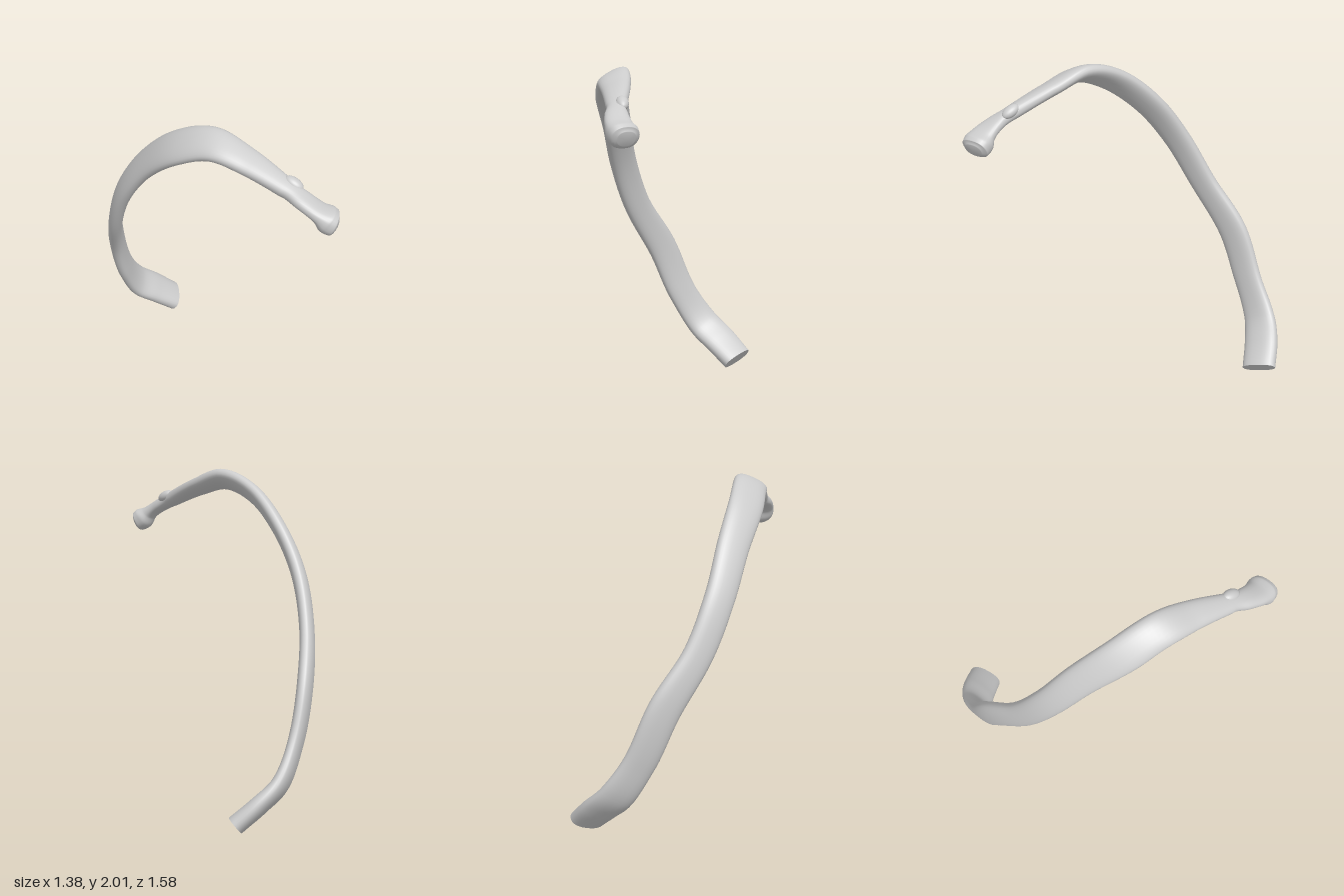
import * as THREE from 'three';

// Stations along the bone: centre x, y, z, half width, half thickness, tilt of the wide axis
const STATIONS = [
  [-0.325, 0.055, -0.685, 0.108, 0.057, 0.15],
  [-0.45, 0.165, -0.632, 0.113, 0.053, 0.28],
  [-0.555, 0.275, -0.56, 0.108, 0.046, 0.42],
  [-0.62, 0.5, -0.43, 0.098, 0.042, 0.48],
  [-0.645, 0.8, -0.297, 0.1, 0.044, 0.48],
  [-0.615, 1.1, -0.09, 0.09, 0.043, 0.48],
  [-0.535, 1.4, 0.06, 0.092, 0.045, 0.48],
  [-0.39, 1.66, 0.185, 0.1, 0.045, 0.48],
  [-0.2, 1.856, 0.325, 0.11, 0.045, 0.48],
  [0, 1.938, 0.42, 0.105, 0.046, 0.46],
  [0.2, 1.885, 0.51, 0.085, 0.043, 0.42],
  [0.4, 1.8, 0.617, 0.06, 0.042, 0.42],
  [0.5, 1.752, 0.672, 0.066, 0.038, 0.25],
  [0.58, 1.704, 0.7, 0.08, 0.044, 0.1],
  [0.632, 1.662, 0.706, 0.09, 0.07, 0],
  [0.66, 1.645, 0.707, 0.085, 0.066, 0],
  [0.676, 1.638, 0.707, 0.055, 0.042, 0],
];
const STEPS = 128, SIDES = 28;

function boneGeometry() {
  const path = new THREE.CatmullRomCurve3(STATIONS.map(s => new THREE.Vector3(s[0], s[1], s[2])), false, 'centripetal');
  const form = new THREE.CatmullRomCurve3(STATIONS.map(s => new THREE.Vector3(s[3], s[4], s[5])));
  const pos = [], index = [];
  const round = v => Math.sign(v) * Math.pow(Math.abs(v), 0.85);

  // Rings of a flattened rounded section, swept along the path
  for (let i = 0; i <= STEPS; i++) {
    const u = i / STEPS, c = path.getPoint(u), f = form.getPoint(u), t = path.getTangent(u);
    const w = new THREE.Vector3(0, Math.sin(f.z), -Math.cos(f.z));
    w.addScaledVector(t, -w.dot(t)).normalize();
    const n = new THREE.Vector3().crossVectors(t, w);
    for (let j = 0; j < SIDES; j++) {
      const a = j / SIDES * Math.PI * 2;
      const p = c.clone()
        .addScaledVector(w, f.x * round(Math.cos(a)))
        .addScaledVector(n, f.y * round(Math.sin(a)));
      pos.push(p.x, p.y, p.z);
    }
  }
  for (let i = 0; i < STEPS; i++) for (let j = 0; j < SIDES; j++) {
    const k = (j + 1) % SIDES;
    const a = i * SIDES + j, b = i * SIDES + k, c = a + SIDES, d = b + SIDES;
    index.push(a, b, c, b, d, c);
  }

  // Rounded head: a fan sharing the last ring
  const last = STEPS * SIDES, tip = pos.length / 3;
  pos.push(0.682, 1.635, 0.707);
  for (let j = 0; j < SIDES; j++) index.push(tip, last + j, last + (j + 1) % SIDES);

  // Flat cut end: a fan on its own copy of the first ring, for a sharp rim
  const rim = pos.length / 3;
  pos.push(...pos.slice(0, SIDES * 3), ...STATIONS[0].slice(0, 3));
  for (let j = 0; j < SIDES; j++) index.push(rim + SIDES, rim + (j + 1) % SIDES, rim + j);

  const g = new THREE.BufferGeometry();
  g.setAttribute('position', new THREE.Float32BufferAttribute(pos, 3));
  g.setIndex(index);
  g.computeVertexNormals();
  return g;
}

export function createModel() {
  const model = new THREE.Group();
  model.name = 'rib';
  const material = new THREE.MeshStandardMaterial({ color: 0xcccccc });

  const shaft = new THREE.Mesh(boneGeometry(), material);
  shaft.name = 'shaftAndHead';
  model.add(shaft);

  // Small bump on the upper back of the neck
  const tubercle = new THREE.Mesh(new THREE.SphereGeometry(1, 24, 16), material);
  tubercle.name = 'tubercle';
  tubercle.scale.set(0.06, 0.032, 0.036);
  tubercle.position.set(0.445, 1.818, 0.605);
  tubercle.rotation.set(0, -0.4, -0.45);
  model.add(tubercle);

  return model;
}
